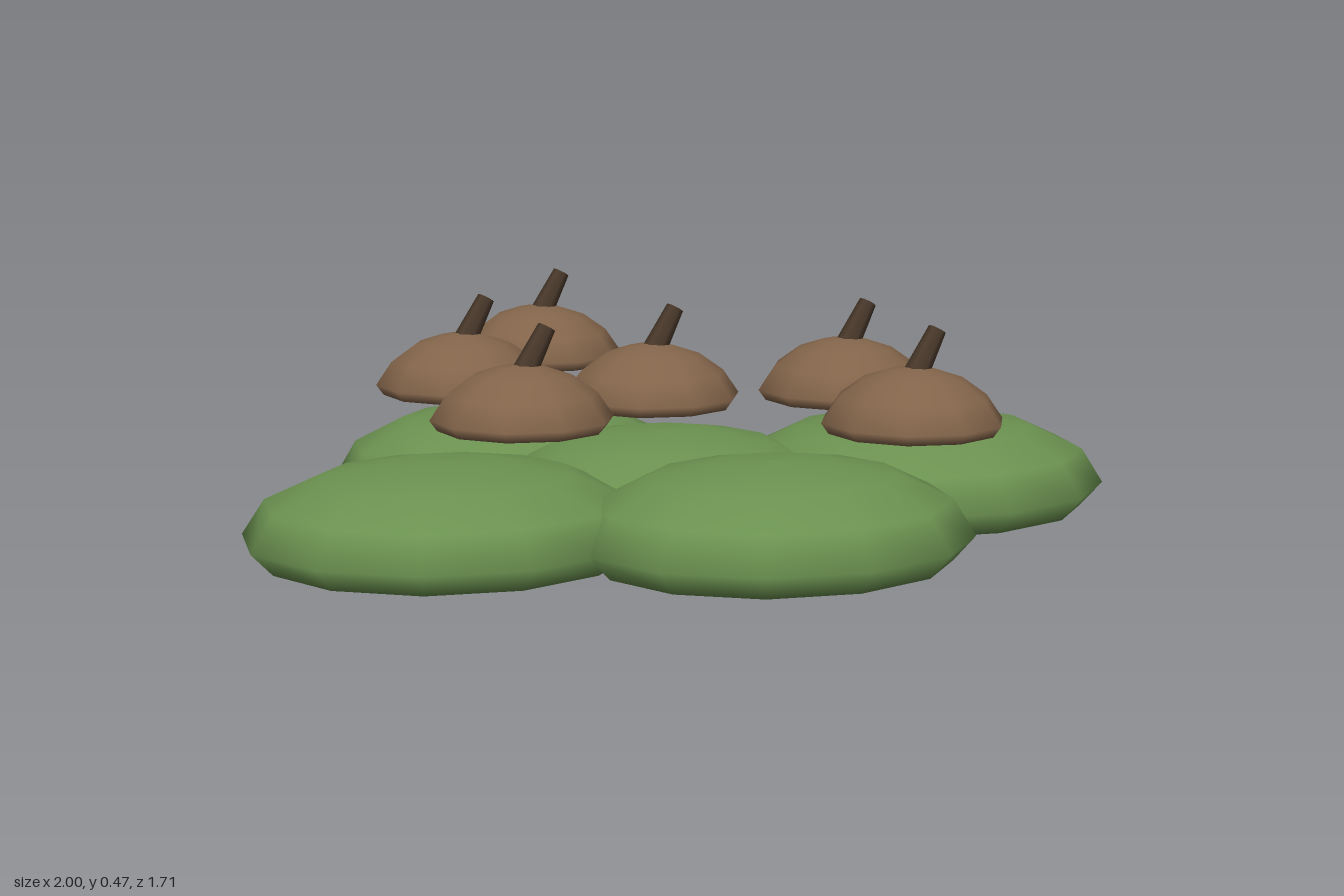
import * as THREE from 'three';

export function createModel() {
  const model = new THREE.Group();
  const leafGreen = new THREE.MeshStandardMaterial({ color: 0x6b9150 });
  const capBrown = new THREE.MeshStandardMaterial({ color: 0x82644a });
  const stemBrown = new THREE.MeshStandardMaterial({ color: 0x4a392b });

  const lathe = (profile, sides) =>
    new THREE.LatheGeometry(profile.map(([r, y]) => new THREE.Vector2(r, y)), sides);

  const add = (name, geometry, material, parent = model) => {
    const mesh = new THREE.Mesh(geometry, material);
    mesh.name = name;
    parent.add(mesh);
    return mesh;
  };

  // Low rounded mounds: unit radius and height, scaled per mound
  const moundShape = lathe([
    [0, 0], [0.89, 0], [1, 0.24], [0.89, 0.6], [0.62, 0.86], [0.31, 0.97], [0, 1],
  ], 12);
  const mounds = [
    // name, x, z, radius x, height, radius z
    ['centreMound', 0, 0, 0.39, 0.2, 0.38],
    ['rightMound', -0.57, 0.115, 0.43, 0.2, 0.4],
    ['leftMound', 0.56, 0.12, 0.44, 0.21, 0.39],
    ['frontMound', 0, 0.47, 0.425, 0.21, 0.38],
    ['backMound', -0.17, -0.41, 0.41, 0.21, 0.36],
  ];
  for (const [name, x, z, rx, h, rz] of mounds) {
    const mound = add(name, moundShape, leafGreen);
    mound.position.set(x, 0, z);
    mound.scale.set(rx, h, rz);
  }

  // Domed caps hovering above the mounds, each with a leaning stem
  const capShape = lathe([
    [0, 0], [0.176, 0], [0.192, 0.022], [0.158, 0.072], [0.105, 0.11], [0.05, 0.128], [0, 0.134],
  ], 10);
  const stemShape = new THREE.CylinderGeometry(0.019, 0.027, 0.11, 6);
  const caps = [
    [0.025, -0.665], [-0.325, -0.335], [-0.035, 0.005],
    [-0.41, 0.14], [0.38, 0.125], [0.28, 0.55],
  ];
  caps.forEach(([x, z], i) => {
    const group = new THREE.Group();
    group.name = `cappedStem${i + 1}`;
    group.position.set(x, 0.258, z);
    add('cap', capShape, capBrown, group);
    const stem = add('stem', stemShape, stemBrown, group);
    stem.position.set(0.031, 0.16, 0);
    stem.rotation.z = -0.52;
    model.add(group);
  });

  return model;
}
